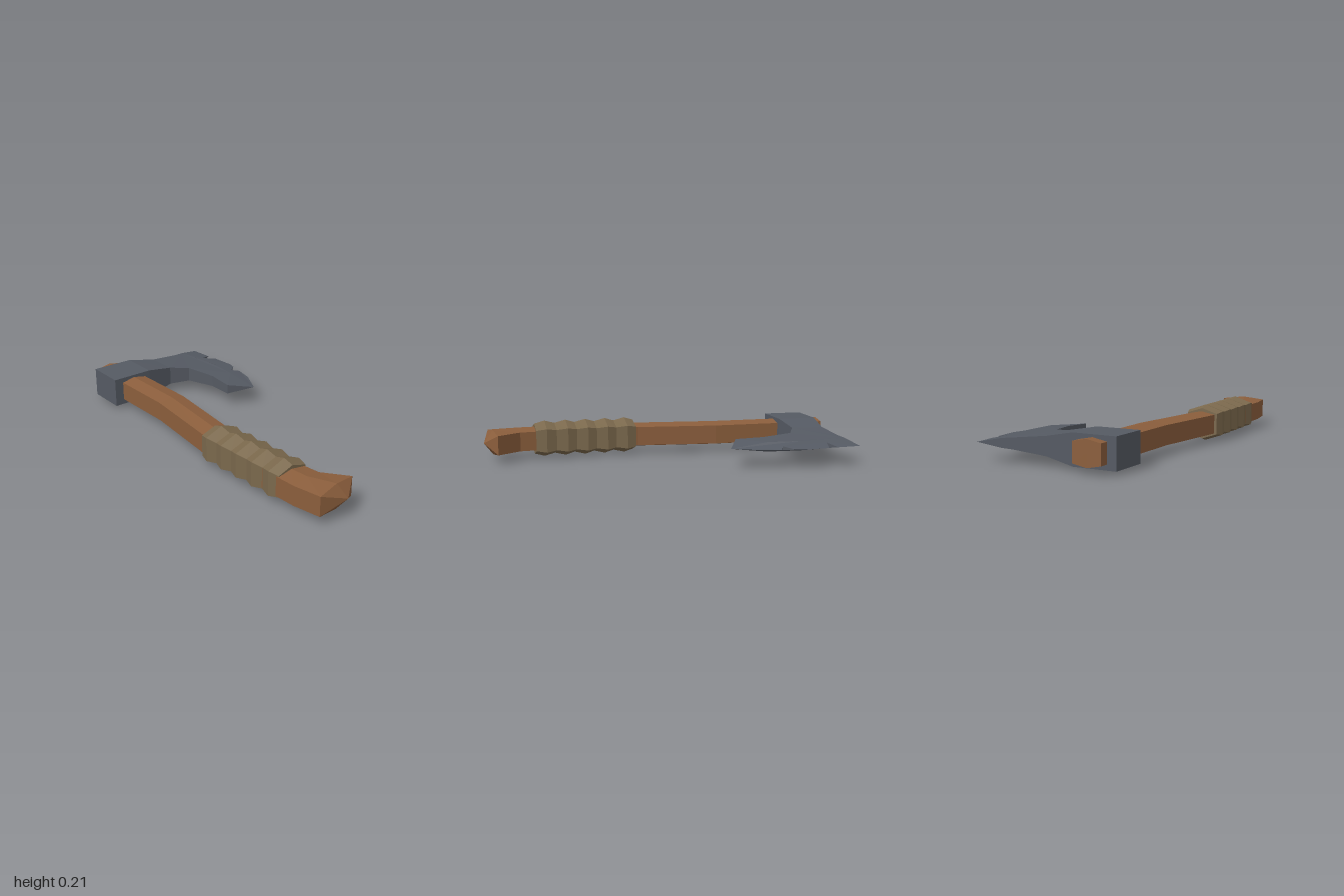
import * as THREE from 'three';

const MID = 0.106; // height of the plane the axe lies in

function makeMesh(name, triangles, color) {
  const geo = new THREE.BufferGeometry();
  geo.setAttribute('position', new THREE.Float32BufferAttribute(triangles.flat(), 3));
  geo.computeVertexNormals();
  const mesh = new THREE.Mesh(geo, new THREE.MeshStandardMaterial({ color, flatShading: true }));
  mesh.name = name;
  return mesh;
}

// Six-sided section between a back point and a front point, with a ridge above and below
function hexRing([bx, bz], [fx, fz], side, ridge) {
  const mx = (bx + fx) / 2, mz = (bz + fz) / 2;
  return [
    [fx, MID - side, fz], [fx, MID + side, fz], [mx, MID + ridge, mz],
    [bx, MID + side, bz], [bx, MID - side, bz], [mx, MID - ridge, mz],
  ];
}

// Skin consecutive rings and close both ends to a centre point
function loft(rings, startTip, endTip) {
  const out = [];
  const n = rings[0].length, last = rings[rings.length - 1];
  for (let j = 0; j < n; j++) {
    const k = (j + 1) % n;
    for (let i = 0; i < rings.length - 1; i++) {
      const a = rings[i][j], b = rings[i][k], c = rings[i + 1][j], d = rings[i + 1][k];
      out.push(a, c, b, b, c, d);
    }
    out.push(startTip, rings[0][j], rings[0][k], endTip, last[k], last[j]);
  }
  return out;
}

function createHandle() {
  // back and front edge of each section
  const edges = [
    [[-0.954, -0.13], [-1.0, 0.024]],
    [[-0.302, 0.078], [-0.356, 0.233]],
    [[0.13, 0.28], [0.085, 0.435]],
    [[0.70, 0.447], [0.67, 0.627]],
    [[0.805, 0.468], [0.767, 0.655]],
    [[0.96, 0.415], [0.923, 0.677]],
  ];
  const rings = edges.map(([b, f]) => hexRing(b, f, 0.055, 0.071));
  return makeMesh('handle', loft(rings, [-0.977, MID, -0.053], [1, MID, 0.535]), 0x8b5e3c);
}

function createGrip() {
  // alternating narrow and wide sections make the wrapped ridges
  const start = new THREE.Vector2(0.12, 0.366), end = new THREE.Vector2(0.69, 0.532);
  const dir = end.clone().sub(start).normalize();
  const steps = [0, 0.09, 0.2, 0.29, 0.4, 0.49, 0.6, 0.69, 0.8, 0.9, 1];
  const rings = steps.map((t, i) => {
    const wide = i % 2 === 1;
    const half = wide ? 0.107 : 0.092;
    const p = start.clone().lerp(end, t);
    return hexRing([p.x + dir.y * half, p.y - dir.x * half], [p.x - dir.y * half, p.y + dir.x * half],
      wide ? 0.069 : 0.06, wide ? 0.106 : 0.09);
  });
  return makeMesh('grip', loft(rings, [start.x, MID, start.y], [end.x, MID, end.y]), 0x7a684c);
}

function createHead() {
  // plan points: x, z, half thickness
  const pollL = [-0.965, 0.09, 0.085], pollR = [-0.745, 0.165, 0.085];
  const eyeL = [-0.885, -0.145, 0.085], eyeR = [-0.67, -0.073, 0.085];
  const neckL = [-0.815, -0.30, 0.052], neckR = [-0.633, -0.24, 0.055];
  const inner = [[-0.548, -0.325, 0.043], [-0.356, -0.313, 0.034]];
  const heel = [-0.206, -0.254, 0.028];
  const bevel = [[-0.30, -0.43, 0.027], [-0.48, -0.50, 0.027]];
  const toe = [-0.767, -0.55, 0.026], back = [-0.773, -0.49, 0.031];
  // cutting edge with two chipped notches
  const edge = [
    [-0.088, -0.372, 0], [-0.206, -0.49, 0], [-0.307, -0.548, 0], [-0.345, -0.51, 0.01],
    [-0.377, -0.585, 0], [-0.42, -0.612, 0], [-0.564, -0.645, 0], [-0.612, -0.57, 0.016],
    [-0.623, -0.655, 0], [-0.757, -0.687, 0],
  ];
  const patches = [
    [pollL, pollR, eyeR, eyeL],
    [eyeL, eyeR, neckR, neckL],
    [neckL, neckR, ...inner, heel, ...bevel, toe, back],
    [heel, ...edge, toe, ...[...bevel].reverse()],
  ];
  const out = [];
  const up = ([x, z, t]) => [x, MID + t, z];
  const down = ([x, z, t]) => [x, MID - t, z];

  // upper and lower cheeks
  for (const patch of patches) {
    const flat = patch.map(([x, z]) => new THREE.Vector2(x, -z));
    for (const face of THREE.ShapeUtils.triangulateShape(flat, [])) {
      let [a, b, c] = face.map((i) => patch[i]);
      const turn = (b[1] - a[1]) * (c[0] - a[0]) - (b[0] - a[0]) * (c[1] - a[1]);
      if (turn < 0) [b, c] = [c, b];
      out.push(up(a), up(b), up(c), down(a), down(c), down(b));
    }
  }
  // walls around the outline
  const outline = [pollL, pollR, eyeR, neckR, ...inner, heel, ...edge, toe, back, neckL, eyeL];
  outline.forEach((p, i) => {
    const q = outline[(i + 1) % outline.length];
    if (q[2] > 0) out.push(down(p), down(q), up(q));
    if (p[2] > 0) out.push(down(p), up(q), up(p));
  });
  return makeMesh('axeHead', out, 0x555a63);
}

export function createModel() {
  const axe = new THREE.Group();
  axe.name = 'axe';
  axe.add(createHandle(), createGrip(), createHead());
  return axe;
}
